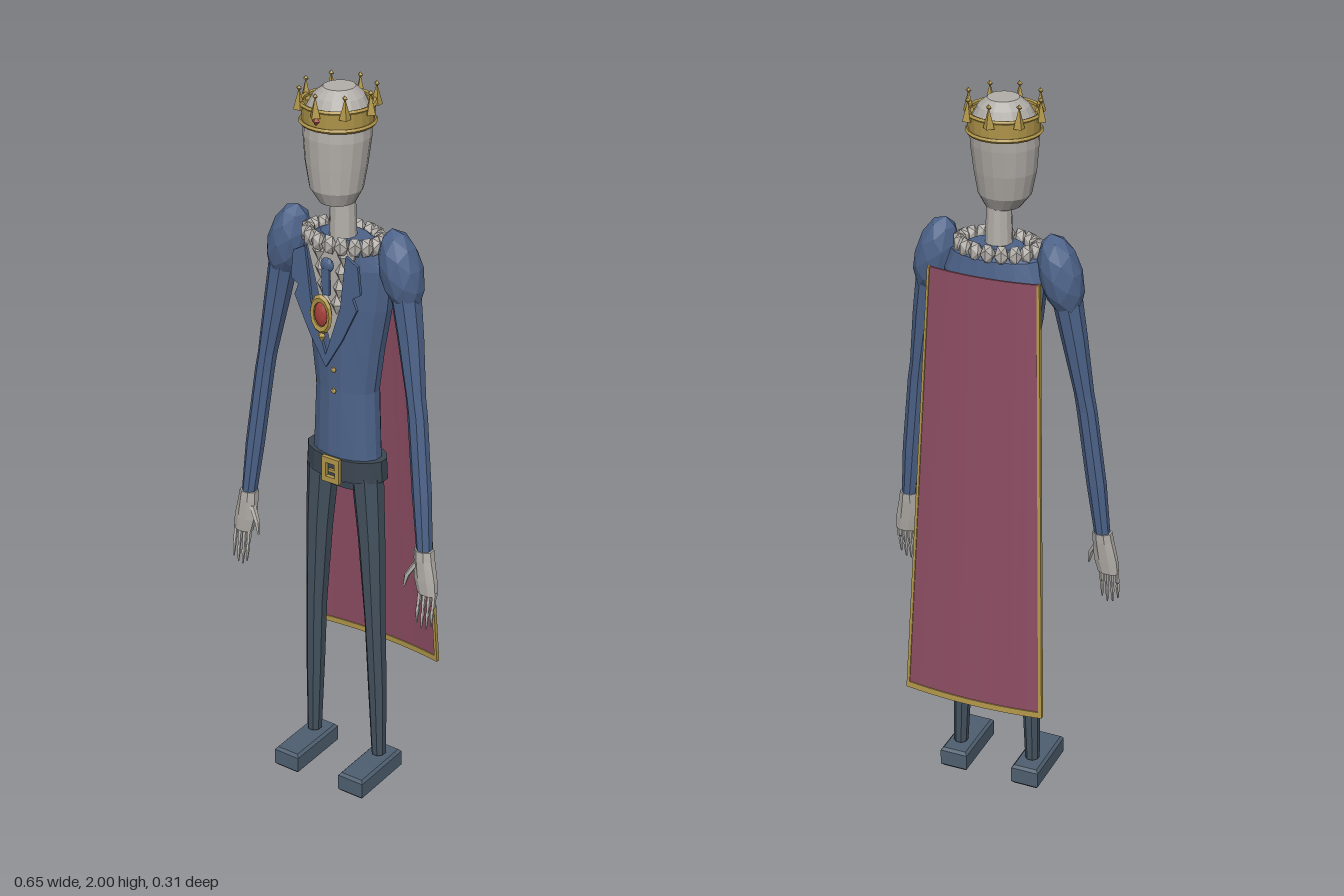
import * as THREE from 'three';

const mat = (name, color, side = THREE.FrontSide) => {
  const m = new THREE.MeshStandardMaterial({ color, flatShading: true, side });
  m.name = name;
  return m;
};

export function createModel() {
  const root = new THREE.Group();
  const bone = mat('bone', 0xb3afaa);
  const blue = mat('jacket blue', 0x4d6389);
  const slate = mat('trouser slate', 0x44525f);
  const shoeMat = mat('shoe slate', 0x4f5f70);
  const dark = mat('belt dark', 0x3b4651);
  const wine = mat('cape wine', 0x8c4d62);
  const gold = mat('gold', 0xb2974a, THREE.DoubleSide);
  const red = mat('gem red', 0xa8403c);

  const add = (name, geo, m, x = 0, y = 0, z = 0, parent = root) => {
    const mesh = new THREE.Mesh(geo, m);
    mesh.name = name;
    mesh.position.set(x, y, z);
    parent.add(mesh);
    return mesh;
  };

  // Closed skin over oval sections [y, cx, cz, rx, rz], listed from bottom to top
  const loft = (secs, n) => {
    const pos = [], idx = [];
    for (const [y, cx, cz, rx, rz] of secs)
      for (let i = 0; i < n; i++) {
        const a = ((i + 0.5) / n) * Math.PI * 2;
        pos.push(cx + rx * Math.cos(a), y, cz + rz * Math.sin(a));
      }
    for (let j = 0; j < secs.length - 1; j++)
      for (let i = 0; i < n; i++) {
        const a = j * n + i, b = j * n + ((i + 1) % n);
        idx.push(a, a + n, b + n, a, b + n, b);
      }
    const top = (secs.length - 1) * n;
    for (let i = 1; i < n - 1; i++) idx.push(0, i, i + 1, top, top + i + 1, top + i);
    const g = new THREE.BufferGeometry();
    g.setAttribute('position', new THREE.Float32BufferAttribute(pos, 3));
    g.setIndex(idx);
    g.computeVertexNormals();
    return g;
  };

  // Thin flat plate from an outline
  const plate = (pts, depth) => new THREE.ExtrudeGeometry(
    new THREE.Shape(pts.map(([x, y]) => new THREE.Vector2(x, y))), { depth, bevelEnabled: false });

  // Head and neck
  const hx = -0.013, hz = 0.032;
  add('head', loft([
    [1.7, hx + 0.008, 0.046, 0.046, 0.048], [1.735, hx + 0.003, 0.044, 0.069, 0.066],
    [1.8, hx, 0.039, 0.081, 0.075], [1.87, hx, 0.035, 0.088, 0.082], [1.93, hx, 0.03, 0.086, 0.083],
    [1.97, hx, 0.028, 0.064, 0.064], [1.99, hx, 0.026, 0.04, 0.042],
  ], 18), bone);
  add('neck', new THREE.CylinderGeometry(0.032, 0.037, 0.14, 12), bone, 0, 1.64, 0.03);

  // Crown: band, rims, points with beads
  const crown = new THREE.Group();
  crown.name = 'crown';
  crown.position.set(hx, 1.93, hz);
  root.add(crown);
  add('crownBand', new THREE.CylinderGeometry(0.093, 0.09, 0.05, 24, 1, true), gold, 0, 0, 0, crown);
  for (const y of [-0.025, 0.022])
    add('crownRim', new THREE.TorusGeometry(0.092, 0.006, 5, 24), gold, 0, y, 0, crown).rotation.x = Math.PI / 2;
  for (let i = 0; i < 8; i++) {
    const a = (i / 8) * Math.PI * 2, x = Math.sin(a) * 0.096, z = Math.cos(a) * 0.096;
    add('crownPoint', new THREE.ConeGeometry(0.015, 0.055, 4), gold, x, 0.035, z, crown).rotation.y = a;
    add('crownBead', new THREE.OctahedronGeometry(0.008), gold, x, 0.061, z, crown);
  }
  add('crownGem', new THREE.OctahedronGeometry(0.011), red, 0, -0.003, 0.093, crown);

  // Jacket body
  add('jacket', loft([
    [0.92, 0, 0.01, 0.108, 0.06], [1.0, 0, 0.01, 0.1, 0.062], [1.18, 0, 0.008, 0.092, 0.062],
    [1.3, 0, 0.008, 0.108, 0.064], [1.42, 0, 0.008, 0.13, 0.065], [1.53, 0, 0.008, 0.142, 0.063],
    [1.58, 0, 0.01, 0.12, 0.058], [1.605, 0, 0.02, 0.07, 0.045],
  ], 16), blue);

  // Shirt front with ruffles and a short cord
  add('shirt', plate([[-0.075, 1.59], [0, 1.31], [0.075, 1.59]], 0.008), bone, 0, 0, 0.076);
  for (let i = 0; i < 4; i++)
    for (const s of [-1, 1])
      add('ruffle', new THREE.OctahedronGeometry(0.022), bone, s * (0.038 - i * 0.007), 1.57 - i * 0.045, 0.084)
        .scale.set(0.8, 1.3, 0.6);
  add('cordKnot', new THREE.IcosahedronGeometry(0.02, 1), blue, 0, 1.545, 0.1).scale.z = 0.5;
  add('cord', new THREE.BoxGeometry(0.022, 0.07, 0.008), blue, 0, 1.5, 0.104);

  for (const s of [-1, 1]) {
    // Notched lapel
    add('lapel', plate([[0.062, 1.585], [0.098, 1.565], [0.106, 1.49], [0.083, 1.475], [0.095, 1.445],
      [0.05, 1.35], [0, 1.265], [0, 1.3], [0.045, 1.44]].map(([x, y]) => [s * x, y]), 0.009), blue, 0, 0, 0.1);
  }

  // Pendant
  add('pendantFrame', new THREE.TorusGeometry(0.027, 0.007, 5, 12), gold, 0, 1.42, 0.127).scale.y = 1.6;
  add('pendantBack', new THREE.CylinderGeometry(0.026, 0.026, 0.008, 12).rotateX(Math.PI / 2), gold, 0, 1.42, 0.119).scale.y = 1.6;
  add('pendantGem', new THREE.IcosahedronGeometry(0.02, 1), red, 0, 1.42, 0.126).scale.set(1, 1.75, 0.6);
  add('pendantDrop', new THREE.OctahedronGeometry(0.012), gold, 0, 1.36, 0.125).scale.y = 1.5;

  // Buttons
  for (const [x, y] of [[0, 1.3], [0.008, 1.25], [0.008, 1.19]])
    add('button', new THREE.IcosahedronGeometry(0.009, 0), gold, x, y, 0.085).scale.z = 0.6;

  // Collar of bone studs around the neck
  for (let i = 0; i < 18; i++) {
    const a = (i / 18) * Math.PI * 2;
    const stud = add('collarStud', new THREE.IcosahedronGeometry(0.023, 0), bone,
      Math.sin(a) * 0.103, 1.597, 0.025 + Math.cos(a) * 0.066);
    stud.scale.set(0.85, 1.25, 0.85);
    stud.rotation.y = a;
  }

  // Belt and buckle
  add('belt', loft([[0.93, 0, 0.012, 0.122, 0.07], [0.99, 0, 0.012, 0.119, 0.068]], 16), dark);
  const buckle = new THREE.Shape([[-0.027, -0.036], [0.027, -0.036], [0.027, 0.036], [-0.027, 0.036]]
    .map(([x, y]) => new THREE.Vector2(x, y)));
  buckle.holes.push(new THREE.Path([[-0.014, -0.02], [-0.014, 0.02], [0.014, 0.02], [0.014, -0.02]]
    .map(([x, y]) => new THREE.Vector2(x, y))));
  add('buckle', new THREE.ExtrudeGeometry(buckle, { depth: 0.012, bevelEnabled: false }), gold, 0, 0.958, 0.08);
  add('bucklePin', new THREE.BoxGeometry(0.02, 0.008, 0.008), gold, 0.004, 0.958, 0.088);
  add('hips', loft([[0.895, 0, 0.01, 0.1, 0.045], [0.94, 0, 0.01, 0.112, 0.058]], 16), slate);

  for (const s of [-1, 1]) {
    // Leg and shoe
    add('leg', loft([
      [0.07, s * 0.109, 0.017, 0.02, 0.022], [0.3, s * 0.103, 0.018, 0.026, 0.028],
      [0.5, s * 0.096, 0.02, 0.028, 0.032], [0.75, s * 0.084, 0.021, 0.037, 0.038],
      [0.94, s * 0.07, 0.021, 0.045, 0.043],
    ], 8), slate);
    const sole = new THREE.Shape([[-0.033, -0.09], [0.033, -0.09], [0.033, 0.09], [-0.033, 0.09]]
      .map(([x, y]) => new THREE.Vector2(x, y)));
    add('shoe', new THREE.ExtrudeGeometry(sole, { depth: 0.045, bevelSize: 0.007, bevelThickness: 0.008, bevelSegments: 1 })
      .rotateX(-Math.PI / 2), shoeMat, s * 0.108, 0.01, 0.058);

    // Puffed shoulder
    const puff = add('shoulderPuff', new THREE.IcosahedronGeometry(1, 1), blue, s * 0.172, 1.543, 0.024);
    puff.scale.set(0.056, 0.112, 0.057);
    puff.rotation.z = s * 0.26;

    // Sleeve
    add('sleeve', loft([
      [0.79, s * 0.283, 0.07, 0.021, 0.021], [0.95, s * 0.266, 0.06, 0.027, 0.024],
      [1.17, s * 0.24, 0.046, 0.027, 0.025], [1.22, s * 0.232, 0.043, 0.026, 0.027],
      [1.38, s * 0.206, 0.032, 0.035, 0.035], [1.5, s * 0.185, 0.026, 0.04, 0.042],
    ], 8), blue);

    // Bony hand: palm, fingers and thumb
    add('palm', loft([
      [0.68, s * 0.299, 0.078, 0.03, 0.016], [0.72, s * 0.292, 0.076, 0.034, 0.02],
      [0.78, s * 0.284, 0.072, 0.029, 0.024], [0.805, s * 0.282, 0.07, 0.027, 0.024],
    ], 8), bone);
    for (let i = 0; i < 4; i++) {
      const x = s * (0.277 + i * 0.015), tip = 0.575 + Math.abs(i - 1.4) * 0.013;
      add('finger', loft([
        [tip, x, 0.094, 0.002, 0.002], [tip + 0.04, x, 0.09, 0.006, 0.006],
        [tip + 0.05, x, 0.088, 0.004, 0.004], [0.65, x, 0.085, 0.006, 0.007], [0.69, x, 0.08, 0.006, 0.007],
      ], 5), bone);
    }
    add('thumb', loft([
      [0.69, s * 0.236, 0.094, 0.003, 0.003], [0.725, s * 0.243, 0.09, 0.008, 0.008],
      [0.765, s * 0.266, 0.08, 0.01, 0.01],
    ], 5), bone);
  }

  // Cape: a curved slab that widens and swings back toward the hem
  const L = THREE.MathUtils.lerp;
  const capePart = (name, u0, u1, v0, v1, thick, m, nu) => {
    const g = new THREE.BoxGeometry(1, 1, thick, nu, 1, 1), p = g.attributes.position;
    for (let i = 0; i < p.count; i++) {
      const u = L(u0, u1, p.getX(i) + 0.5), v = L(v0, v1, p.getY(i) + 0.5);
      p.setXYZ(i, u * L(0.2, 0.153, v), L(0.32, 1.55, v), L(-0.138, -0.068, v) - 0.016 * (1 - u * u) + p.getZ(i));
    }
    g.computeVertexNormals();
    add(name, g, m);
  };
  capePart('cape', -0.99, 0.99, 0.003, 1, 0.006, wine, 10);
  capePart('capeHem', -1, 1, 0, 0.014, 0.012, gold, 10);
  capePart('capeTrim', -1, -0.955, 0, 1, 0.012, gold, 1);
  capePart('capeTrim', 0.955, 1, 0, 1, 0.012, gold, 1);

  return root;
}
